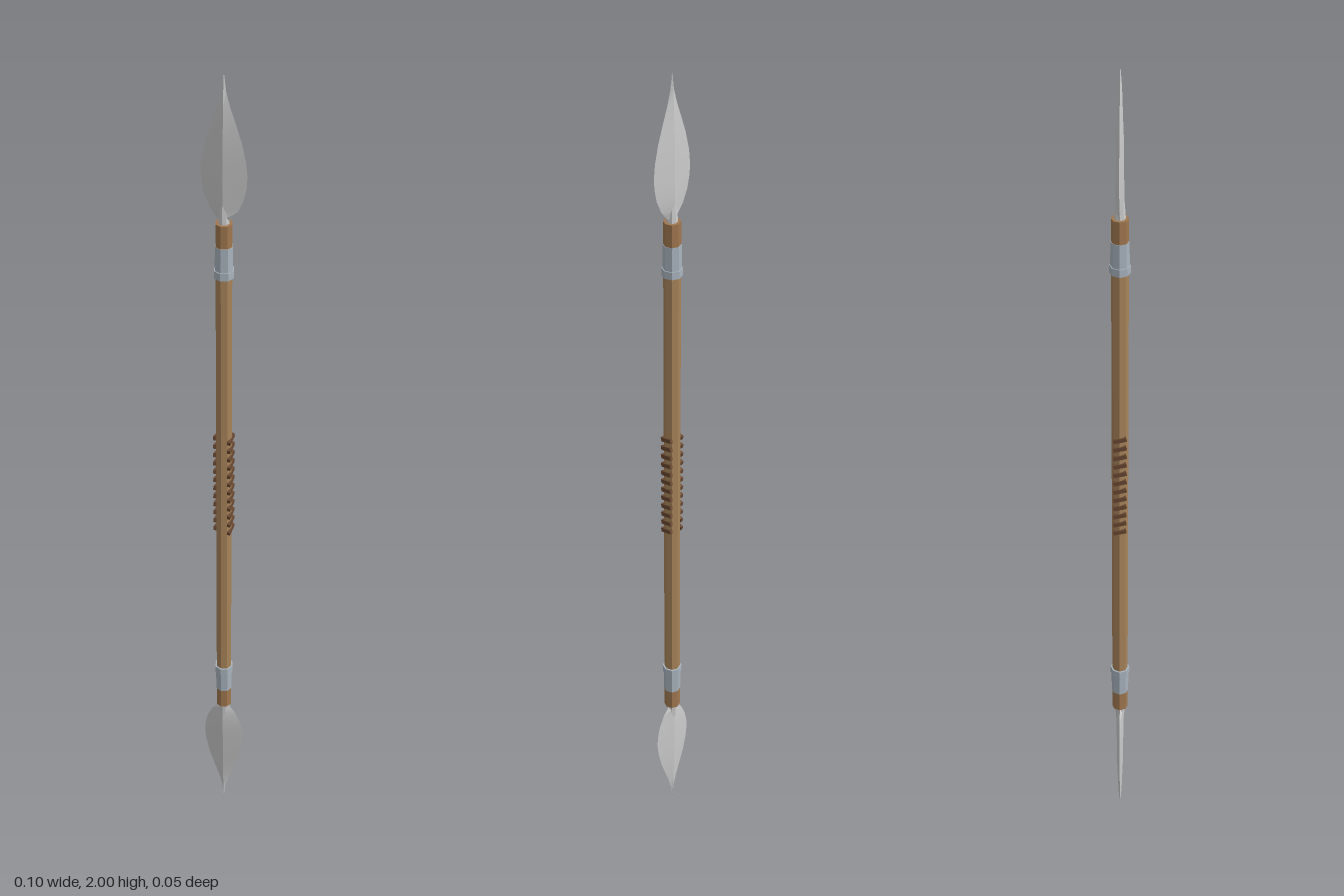
import * as THREE from 'three';
import { toCreasedNormals } from 'three/addons/utils/BufferGeometryUtils.js';

const material = (color) => new THREE.MeshStandardMaterial({ color });
const wood = material(0xa8845a);
const tipWood = material(0xa07850);
const cord = material(0x6b4a33);
const collarMetal = material(0xa9b4be);
const steel = material(0xcccccc);

function add(parent, name, geometry, mat, y = 0) {
  const mesh = new THREE.Mesh(geometry, mat);
  mesh.name = name;
  mesh.position.y = y;
  parent.add(mesh);
  return mesh;
}

// Eight-sided piece between two heights
function octagon(parent, name, mat, y0, y1, r0, r1 = r0) {
  const geo = new THREE.CylinderGeometry(r1, r0, y1 - y0, 8);
  geo.computeBoundingBox();
  return add(parent, name, toCreasedNormals(geo, 0.6), mat, (y0 + y1) / 2);
}

// Leaf blade: diamond cross-sections [height, half width, half thickness]
function bladeGeometry() {
  const sections = [
    [0.672, 0.006, 0.009], [0.685, 0.015, 0.009], [0.705, 0.03, 0.009],
    [0.735, 0.043, 0.009], [0.765, 0.049, 0.0085], [0.79, 0.05, 0.008],
    [0.82, 0.047, 0.008], [0.86, 0.038, 0.0075], [0.9, 0.025, 0.006],
    [0.935, 0.013, 0.005], [0.965, 0.005, 0.004], [1.0, 0.0008, 0.0015],
  ];
  const positions = [];
  const index = [];
  for (const [y, w, t] of sections) {
    positions.push(w, y, 0, 0, y, t, -w, y, 0, 0, y, -t);
  }
  for (let i = 0; i < sections.length - 1; i++) {
    for (let j = 0; j < 4; j++) {
      const a = i * 4 + j;
      const b = i * 4 + ((j + 1) % 4);
      index.push(a, a + 4, b, b, a + 4, b + 4);
    }
  }
  // Caps at base and point
  const n = (sections.length - 1) * 4;
  index.push(0, 1, 2, 0, 2, 3, n, n + 2, n + 1, n, n + 3, n + 2);
  const geo = new THREE.BufferGeometry();
  geo.setAttribute('position', new THREE.Float32BufferAttribute(positions, 3));
  geo.setIndex(index);
  return toCreasedNormals(geo, 0.3);
}

// One end of the weapon, measured upward from the middle of the shaft
function makeEnd(name) {
  const end = new THREE.Group();
  end.name = name;
  octagon(end, 'shaftTip', tipWood, 0.61, 0.675, 0.0188);
  octagon(end, 'collar', collarMetal, 0.56, 0.622, 0.0205, 0.0198);
  octagon(end, 'collarRing', collarMetal, 0.548, 0.566, 0.0225);
  octagon(end, 'bladeSocket', steel, 0.67, 0.735, 0.0125, 0.008);
  add(end, 'blade', bladeGeometry(), steel);
  return end;
}

export function createModel() {
  const model = new THREE.Group();
  model.name = 'doubleSpear';

  octagon(model, 'shaft', wood, 0.385, 1.615, 0.0185);

  // Identical blades at both ends
  const top = makeEnd('upperEnd');
  const bottom = makeEnd('lowerEnd');
  top.position.y = bottom.position.y = 1;
  bottom.rotation.z = Math.PI;
  model.add(top, bottom);

  // Slanted grip ridges on the two sides of the shaft
  const grip = new THREE.Group();
  grip.name = 'grip';
  const ridge = new THREE.BoxGeometry(0.007, 0.01, 0.03);
  const count = 12;
  for (const side of [-1, 1]) {
    for (let i = 0; i < count; i++) {
      const y = 1.005 + (i / (count - 1) - 0.5) * 0.255;
      const mesh = add(grip, 'gripRidge', ridge, cord, y);
      mesh.position.x = side * 0.0165;
      mesh.rotation.x = side * 0.25;
    }
  }
  model.add(grip);

  return model;
}
